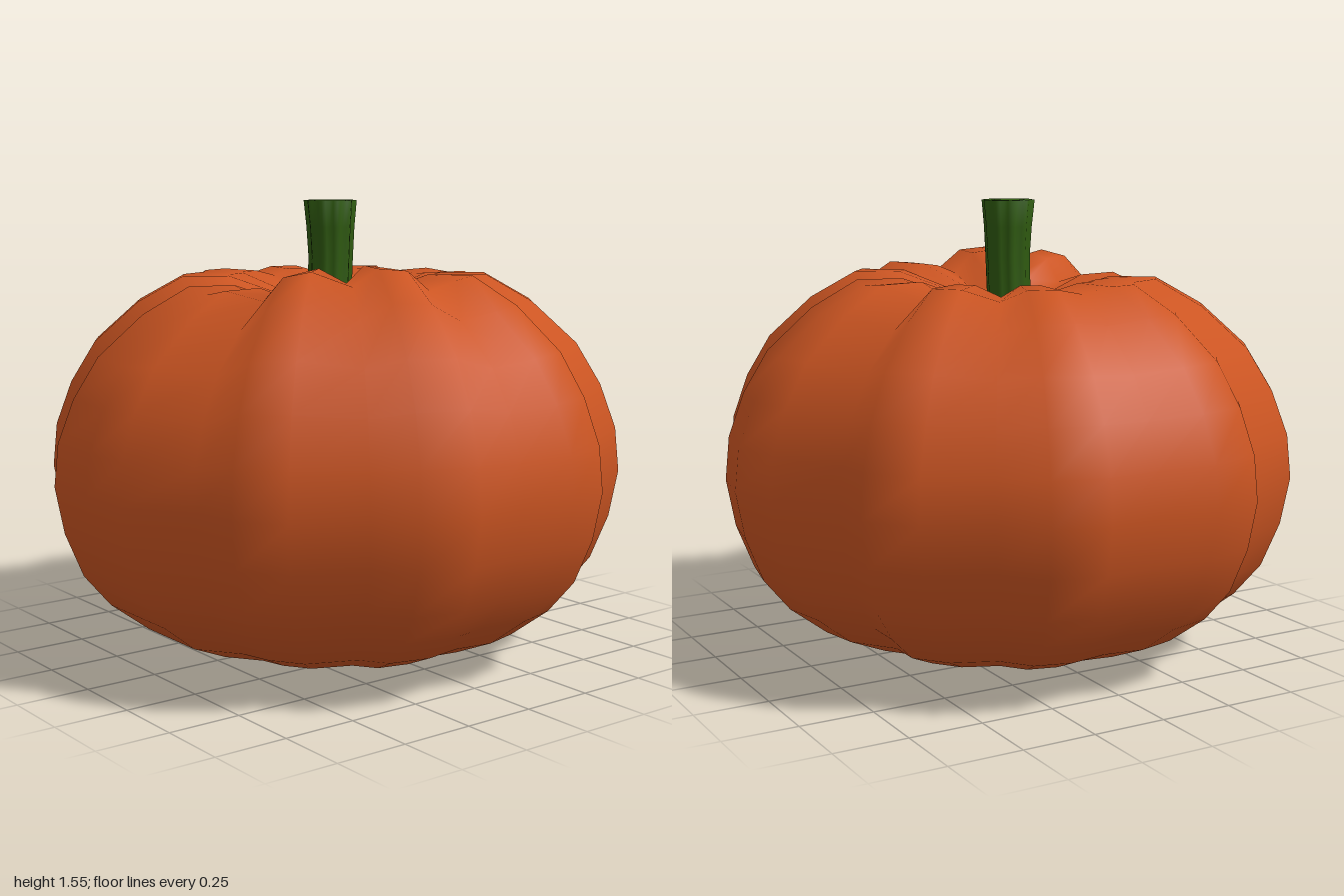
import * as THREE from 'three';

// Outline at the widest level, front to back along +x: [x, z, crown height]
const OUTLINE = [
  [0, 0.99, 1.25], [0.21, 0.99, 1.27], [0.41, 0.85, 1.24], [0.56, 0.81, 1.32],
  [0.71, 0.71, 1.34], [0.81, 0.48, 1.29], [0.94, 0.39, 1.35], [0.99, 0.2, 1.34],
  [0.96, 0, 1.27], [0.99, -0.19, 1.3], [0.94, -0.37, 1.31], [0.8, -0.48, 1.25],
  [0.71, -0.69, 1.3], [0.56, -0.81, 1.3], [0.4, -0.81, 1.24], [0.2, -0.96, 1.29],
  [0, -1, 1.28],
];

// Section from base to crown: [share of outline radius, height]
const SECTION = [
  [0.2, 0.005], [0.4, 0.02], [0.55, 0.05], [0.69, 0.11], [0.82, 0.21], [0.91, 0.32],
  [0.97, 0.47], [1, 0.63], [0.985, 0.78], [0.93, 0.93], [0.845, 1.07], [0.69, 1.21],
  [0.53, 1.3], [0.37, 1.3], [0.2, 1.24], [0.08, 1.16],
];
const WIDEST = 0.63, CROWN = 1.3;

// Smooth closed skin over rings (bottom to top), with a point at each end
function skin(rings, bottom, top) {
  const n = rings[0].length, index = [];
  const points = [...rings.flat(), bottom, top];
  const b = points.length - 2, t = points.length - 1, last = (rings.length - 1) * n;
  for (let j = 0; j < n; j++) {
    const k = (j + 1) % n;
    index.push(b, k, j, t, last + j, last + k);
    for (let i = 0; i < rings.length - 1; i++) {
      const p = i * n, q = p + n;
      index.push(p + j, p + k, q + k, p + j, q + k, q + j);
    }
  }
  const g = new THREE.BufferGeometry();
  g.setAttribute('position', new THREE.Float32BufferAttribute(points.flat(), 3));
  g.setIndex(index);
  g.computeVertexNormals();
  return g;
}

function part(name, geometry, color) {
  const mesh = new THREE.Mesh(geometry, new THREE.MeshStandardMaterial({ color }));
  mesh.name = name;
  return mesh;
}

// Ribbed body: mirrored outline, with lower crowns on the -x side
function bodyGeometry() {
  const mirrored = OUTLINE.slice(1, -1).reverse().map(([x, z, h]) => [-x, z, Math.min(h, 1.29)]);
  const outline = [...OUTLINE, ...mirrored];
  const rings = SECTION.map(([r, y], i) => {
    const pit = i === SECTION.length - 1; // ribs converge around the stem
    return outline.map(([x, z, h]) => {
      const lift = y > WIDEST && !pit ? (h - WIDEST) / (CROWN - WIDEST) : 1;
      return [x * r, WIDEST + (y - WIDEST) * lift, z * r];
    });
  });
  return skin(rings, [0, 0, 0], [0, 1.1, 0]);
}

// Fluted stem, flaring and drifting forward towards a hollowed tip
function stemGeometry() {
  const levels = [ // [radius x, radius z, height, centre z]
    [0.08, 0.085, 1.06, 0.02], [0.072, 0.077, 1.22, 0.02], [0.073, 0.078, 1.36, 0.015],
    [0.078, 0.084, 1.46, 0.016], [0.084, 0.094, 1.55, 0.017], [0.06, 0.066, 1.55, 0.017],
  ];
  const count = 40;
  const rings = levels.map(([rx, rz, y, cz]) => Array.from({ length: count }, (_, j) => {
    const a = (j / count) * Math.PI * 2;
    const flute = 0.95 + 0.06 * Math.cos(a * 10);
    return [Math.sin(a) * rx * flute, y, cz + Math.cos(a) * rz * flute];
  }));
  return skin(rings, [0, 1.06, 0.02], [0, 1.53, 0.017]);
}

export function createModel() {
  const group = new THREE.Group();
  group.name = 'pumpkin';
  group.add(part('body', bodyGeometry(), 0xcc5522));
  group.add(part('stem', stemGeometry(), 0x2f5a10));
  return group;
}
